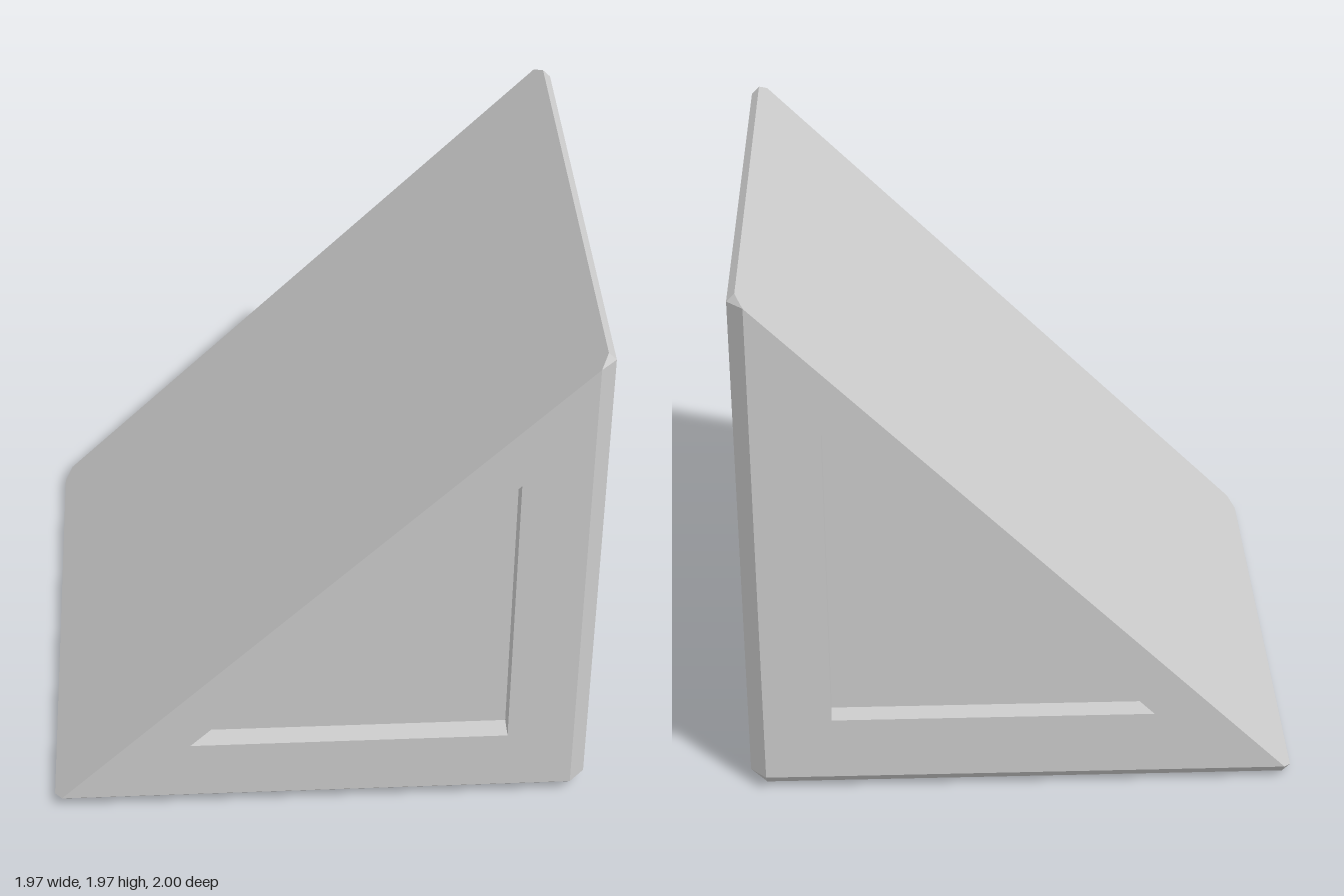
import * as THREE from 'three';

const A = 0.943;            // half width of the flat faces inside the chamfers
const M = (1 + A) / 2;      // where the slope cuts through a chamfer
const DEPTH = 0.083;        // recess depth
const P = 0.7, Q = 0.463;   // recess corner and tip positions

const grey = new THREE.MeshStandardMaterial({ color: 0xcccccc });
grey.name = 'light grey';

const V = (x, y, z) => new THREE.Vector3(x, y, z);

// Flat-shaded geometry from convex polygons
function polygons(list) {
  const pos = [];
  for (const poly of list)
    for (let i = 1; i < poly.length - 1; i++)
      for (const p of [poly[0], poly[i], poly[i + 1]]) pos.push(p.x, p.y, p.z);
  const g = new THREE.BufferGeometry();
  g.setAttribute('position', new THREE.Float32BufferAttribute(pos, 3));
  g.computeVertexNormals();
  return g;
}

// Turn a polygon so that it faces away from the inside of the wedge
function outward(poly) {
  const n = poly[1].clone().sub(poly[0]).cross(poly[2].clone().sub(poly[0]));
  return n.dot(poly[0].clone().sub(V(0.3, -0.3, 0))) < 0 ? poly.slice().reverse() : poly;
}

function addMesh(group, name, geometry) {
  const mesh = new THREE.Mesh(geometry, grey);
  mesh.name = name;
  group.add(mesh);
}

// Flat panel at distance 1 along n = u x v, with triangular recesses
function panel(name, u, v, outline, recesses) {
  const n = u.clone().cross(v);
  const group = new THREE.Group();
  group.name = name;
  const to2 = pts => pts.map(p => new THREE.Vector2(...p));
  const at = (p, h) => V(0, 0, 0).addScaledVector(u, p.x).addScaledVector(v, p.y).addScaledVector(n, h);

  const shape = new THREE.Shape(to2(outline));
  const walls = [], floors = [];
  for (const r of recesses) {
    const pts = to2(r);
    if (THREE.ShapeUtils.isClockWise(pts)) pts.reverse();
    shape.holes.push(new THREE.Path(pts));
    floors.push(pts.map(p => at(p, 1 - DEPTH)));
    pts.forEach((p, i) => {
      const q = pts[(i + 1) % pts.length];
      walls.push([at(p, 1), at(q, 1), at(q, 1 - DEPTH), at(p, 1 - DEPTH)]);
    });
  }
  const plate = new THREE.ShapeGeometry(shape);
  plate.translate(0, 0, 1).applyMatrix4(new THREE.Matrix4().makeBasis(u, v, n));
  addMesh(group, name + 'Frame', plate);
  addMesh(group, name + 'RecessWalls', polygons(walls));
  addMesh(group, name + 'RecessFloors', polygons(floors));
  return group;
}

export function createModel() {
  const model = new THREE.Group();
  model.name = 'wedgeBlock';
  const body = new THREE.Group();
  body.name = 'body';
  model.add(body);

  const X = V(1, 0, 0), Y = V(0, 1, 0), Z = V(0, 0, 1);
  const swap = pts => pts.map(([a, b]) => [b, a]);
  const negate = pts => pts.map(([a, b]) => [-a, -b]);
  const square = [[-A, -A], [A, -A], [A, A], [-A, A]];
  const side = [[-A, -A], [A, -A], [A, A]];
  const lower = [[P, -P], [P, Q], [-Q, -P]];
  const upper = [[P, P], [-Q, P], [P, -Q]];

  // Recessed panels
  body.add(panel('frontPanel', X, Y, side, [lower]));
  body.add(panel('backPanel', Y, X, swap(side), [swap(lower)]));
  body.add(panel('uprightPanel', Y, Z, square, [upper, negate(upper)]));
  body.add(panel('bottomPanel', X, Z, square, [lower, negate(lower)]));

  // Sloped face
  addMesh(body, 'slope', polygons([outward([
    V(M, M, A), V(A, A, 1), V(-A, -A, 1), V(-M, -M, A),
    V(-M, -M, -A), V(-A, -A, -1), V(A, A, -1), V(M, M, -A),
  ])]));

  // Chamfers running front to back
  const chamfers = [
    [[1, -A], [A, -1]],
    [[1, A], [M, M]],
    [[-A, -1], [-M, -M]],
  ].map(([p, q]) => [V(...p, A), V(...q, A), V(...q, -A), V(...p, -A)]);

  // Chamfers and corners around the front, mirrored to the back
  for (const s of [1, -1]) {
    const a = s * A;
    chamfers.push(
      [V(1, -A, a), V(1, A, a), V(A, A, s), V(A, -A, s)],
      [V(A, -1, a), V(-A, -1, a), V(-A, -A, s), V(A, -A, s)],
      [V(1, -A, a), V(A, -1, a), V(A, -A, s)],
      [V(1, A, a), V(M, M, a), V(A, A, s)],
      [V(-A, -1, a), V(-M, -M, a), V(-A, -A, s)],
    );
  }
  addMesh(body, 'chamfers', polygons(chamfers.map(outward)));

  // Stand on the ground, centred
  body.position.set((M - 1) / 2, 1, 0);
  return model;
}
